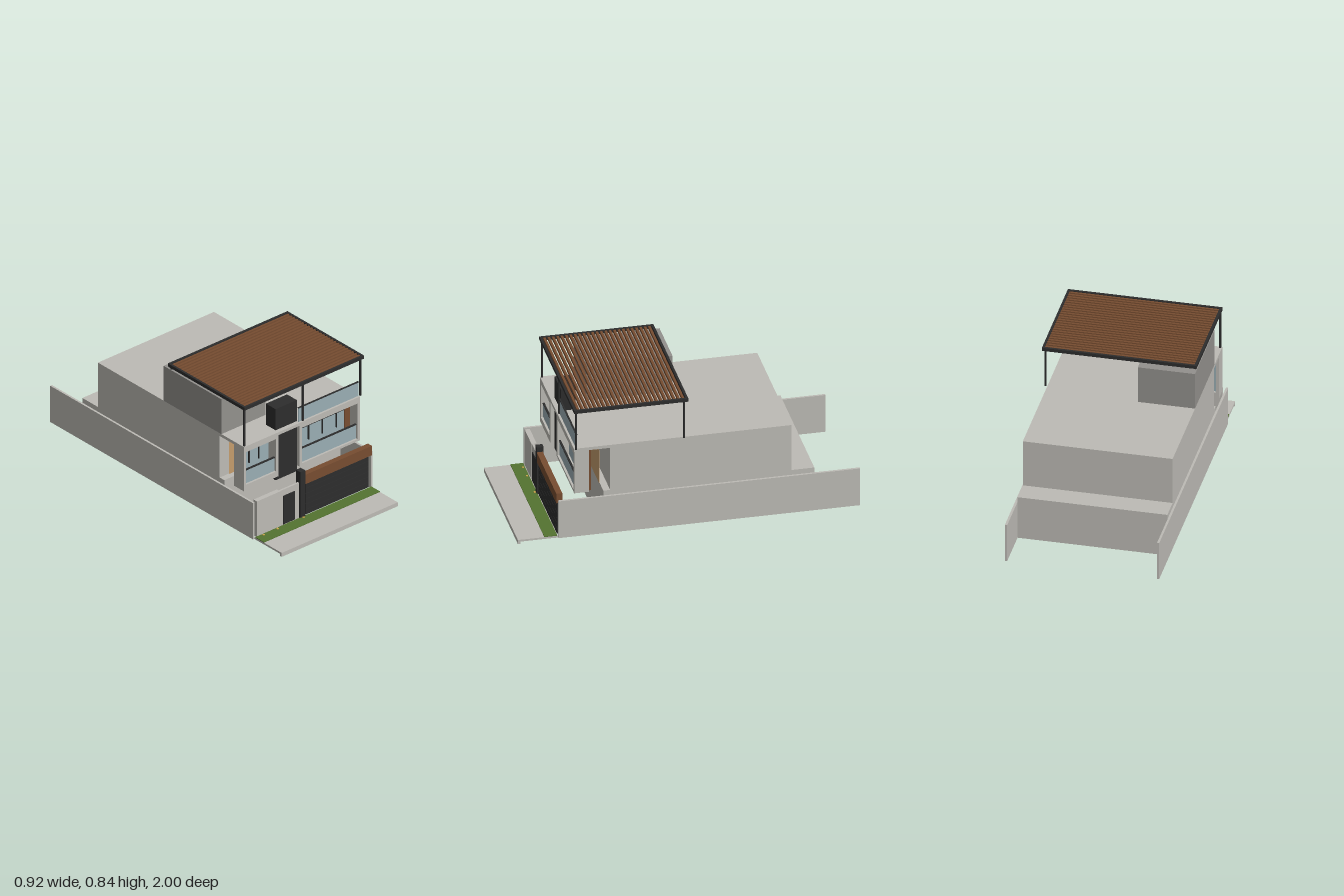
import * as THREE from 'three';

export function createModel() {
  const model = new THREE.Group();
  const mat = (name, color, side = THREE.FrontSide) => {
    const m = new THREE.MeshStandardMaterial({ color, side });
    m.name = name;
    return m;
  };
  const wall = mat('pale concrete', 0xbdbbb5);
  const tower = mat('grey render', 0x93918d);
  const dark = mat('charcoal', 0x2d2d2d);
  const wood = mat('brown wood', 0x774d31);
  const glass = mat('blue glass', 0x9aaeb4, THREE.DoubleSide);
  const tan = mat('tan curtain', 0xc49c6c, THREE.DoubleSide);
  const grass = mat('grass green', 0x547330);
  const gold = mat('lamp gold', 0xc9a54a);

  // Box given by its lower and upper bounds on each axis
  function box(name, m, x0, x1, y0, y1, z0, z1, parent = model) {
    const mesh = new THREE.Mesh(new THREE.BoxGeometry(x1 - x0, y1 - y0, z1 - z0), m);
    mesh.position.set((x0 + x1) / 2, (y0 + y1) / 2, (z0 + z1) / 2);
    mesh.name = name;
    parent.add(mesh);
    return mesh;
  }
  function group(name) {
    const g = new THREE.Group();
    g.name = name;
    model.add(g);
    return g;
  }
  function lamp(x, y, z) {
    const mesh = new THREE.Mesh(new THREE.CylinderGeometry(0.007, 0.007, 0.005, 12), gold);
    mesh.position.set(x, y, z);
    mesh.name = 'spotLamp';
    model.add(mesh);
  }

  const L = -0.447, R = 0.43;

  // Main volumes
  box('groundFloor', wall, L, R, 0.017, 0.287, -0.735, 0.5);
  box('upperFloor', wall, L, R, 0.287, 0.58, -0.6, 0.46);
  box('roofSlab', wall, L, R, 0.561, 0.58, 0.46, 0.672);
  box('stairTower', tower, L, -0.112, 0.58, 0.81, -0.028, 0.475);
  box('boundaryWallRight', wall, -0.46, L, 0.017, 0.256, -1, 0.765);
  box('boundaryWallLeft', wall, R, 0.444, 0.017, 0.256, -1, 0.765);
  box('chimneyColumn', dark, -0.185, -0.025, 0.25, 0.719, 0.56, 0.645);

  // Framed window bays on the upper floor
  function bay(name, x0, x1, y0, sill, rail, bar, uprights, glassEnd) {
    const g = group(name);
    const z0 = 0.585, z1 = 0.67, head = 0.54;
    const a = x0 + 0.018, b = x1 - 0.017;
    box('baySideA', wall, x0, a, y0, 0.561, z0, z1, g);
    box('baySideB', wall, b, x1, y0, 0.561, z0, z1, g);
    box('baySill', wall, a, b, y0, sill, z0, z1, g);
    box('bayHead', wall, a, b, head, 0.561, z0, z1, g);
    box('windowGlass', glass, a, glassEnd, sill, head, 0.597, 0.602, g);
    box('railingGlass', glass, a, b, sill, rail, 0.652, 0.657, g);
    box('handrail', dark, a, b, rail - 0.002, rail + 0.004, 0.649, 0.66, g);
    box('windowBar', dark, a, glassEnd, bar - 0.003, bar + 0.003, 0.602, 0.61, g);
    for (const x of uprights) box('windowUpright', dark, x - 0.003, x + 0.003, rail, head, 0.602, 0.61, g);
    box('curtain', tan, a, b, 0.33, head, 0.519, 0.521, g);
  }
  bay('rightBay', L, -0.185, 0.288, 0.325, 0.413, 0.511, [-0.352, -0.278], -0.202);
  bay('leftBay', -0.025, R, 0.29, 0.305, 0.396, 0.493, [0.098, 0.202, 0.308], 0.371);
  box('woodPanel', wood, 0.371, 0.413, 0.29, 0.561, 0.567, 0.604);

  // Roof terrace railing
  box('terraceGlass', glass, -0.025, R, 0.58, 0.67, 0.654, 0.659);
  box('terraceRail', dark, -0.025, R, 0.669, 0.674, 0.652, 0.661);

  // Pergola with timber slats
  const pergola = group('pergola');
  const px0 = -0.447, px1 = 0.458, pz0 = 0.008, pz1 = 0.676, py0 = 0.822, py1 = 0.842;
  box('frontBeam', dark, px0, px1, py0, py1, pz1 - 0.014, pz1, pergola);
  box('backBeam', dark, px0, px1, py0, py1, pz0, pz0 + 0.014, pergola);
  box('sideBeamRight', dark, px0, px0 + 0.014, py0, py1, pz0 + 0.014, pz1 - 0.014, pergola);
  box('sideBeamLeft', dark, px1 - 0.014, px1, py0, py1, pz0 + 0.014, pz1 - 0.014, pergola);
  const slats = 25;
  for (let i = 0; i < slats; i++) {
    const z = pz0 + 0.027 + i * (pz1 - pz0 - 0.054) / (slats - 1);
    box('slat', wood, px0 + 0.014, px1 - 0.014, py0 + 0.001, py1 - 0.002, z - 0.007, z + 0.007, pergola);
  }
  for (const [x, z] of [[-0.437, 0.662], [0.005, 0.662], [0.441, 0.662], [-0.437, 0.03], [0.441, 0.03]])
    box('post', dark, x - 0.005, x + 0.005, 0.58, py0, z - 0.005, z + 0.005, pergola);

  // Street wall, pedestrian door and gate
  box('streetWall', wall, -0.43, -0.253, 0.02, 0.256, 0.735, 0.765);
  box('doorWall', wall, -0.253, -0.108, 0.02, 0.256, 0.75, 0.762);
  box('pedestrianDoor', dark, -0.232, -0.143, 0.03, 0.216, 0.748, 0.767);
  box('gatePost', dark, -0.109, -0.073, 0.02, 0.33, 0.735, 0.775);
  box('gateBeam', wood, -0.073, R, 0.238, 0.3, 0.74, 0.775);
  const gate = group('garageGate');
  box('gatePanel', dark, -0.06, 0.413, 0.03, 0.238, 0.754, 0.762, gate);
  for (let i = 0; i < 6; i++) {
    const y = 0.03 + i * 0.0347;
    box('gatePlank', dark, -0.06, 0.413, y + 0.001, y + 0.0335, 0.762, 0.767, gate);
  }

  // Pavement with kerb and lawn strip
  box('pavement', wall, L, R, 0.014, 0.026, 0.765, 1);
  box('kerb', wall, L, R, 0, 0.014, 0.985, 1);
  box('lawn', grass, L, R, 0.026, 0.03, 0.77, 0.845);

  // Spot lamps
  for (const x of [-0.395, -0.29, -0.093]) lamp(x, 0.031, 0.783);
  for (const x of [-0.36, -0.27, 0.13, 0.28]) lamp(x, 0.539, 0.63);
  for (const x of [-0.22, 0.005, 0.23]) lamp(x, 0.821, 0.49);

  return model;
}
